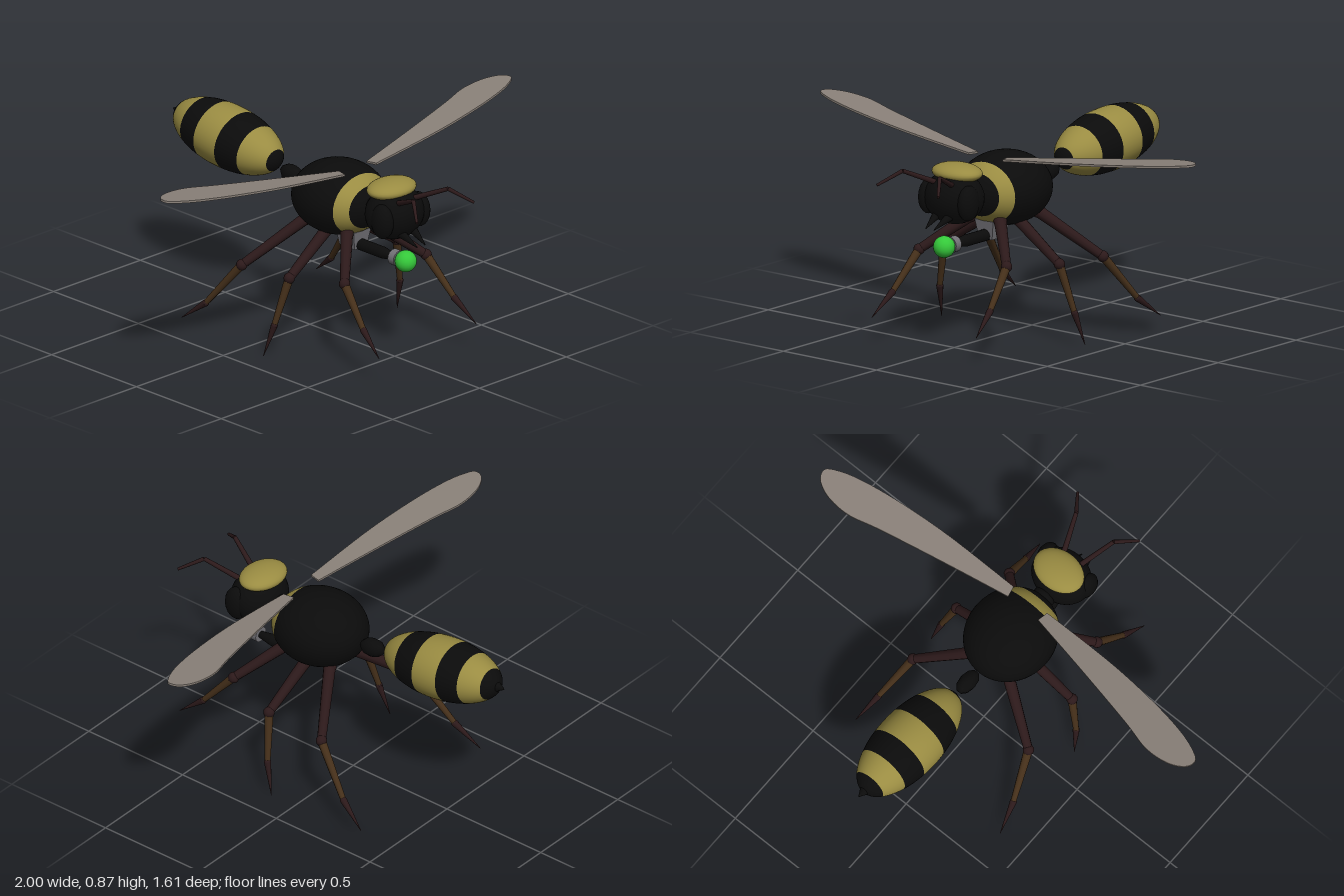
import * as THREE from 'three';

const mat = (name, color) => {
  const m = new THREE.MeshStandardMaterial({ color });
  m.name = name;
  return m;
};

export function createModel() {
  const black = mat('black', 0x0b0b0b);
  const yellow = mat('dull yellow', 0x9a8c42);
  const umber = mat('dark red brown', 0x2c191a);
  const brown = mat('brown', 0x46301a);
  const grey = mat('grey', 0x737277);
  const green = mat('green', 0x35c83a);
  const membrane = mat('wing grey', 0x8a8179);

  const model = new THREE.Group();
  model.name = 'wasp';

  const add = (name, geometry, material, parent = model) => {
    const mesh = new THREE.Mesh(geometry, material);
    mesh.name = name;
    parent.add(mesh);
    return mesh;
  };

  const ellipsoid = (name, material, pos, radii, segs = 32) => {
    const m = add(name, new THREE.SphereGeometry(1, segs, Math.max(6, segs / 2)), material);
    m.position.set(...pos);
    m.scale.set(...radii);
    return m;
  };

  // Tapered round bar between two points
  const bar = (name, material, a, b, ra, rb, parent = model, sides = 10) => {
    const from = new THREE.Vector3(...a), to = new THREE.Vector3(...b);
    const dir = to.clone().sub(from);
    const m = add(name, new THREE.CylinderGeometry(rb, ra, dir.length(), sides), material, parent);
    m.position.copy(from).add(to).multiplyScalar(0.5);
    m.quaternion.setFromUnitVectors(new THREE.Vector3(0, 1, 0), dir.normalize());
    return m;
  };

  // Ellipsoid cut into coloured bands along its long axis; cuts run from 1 (front) to -1 (rear)
  const banded = (name, pos, radii, pitch, cuts, colours) => {
    const group = new THREE.Group();
    group.name = name;
    colours.forEach((colour, i) => {
      const a = Math.acos(cuts[i]), b = Math.acos(cuts[i + 1]);
      const rows = Math.max(3, Math.ceil((b - a) * 10));
      add(name + 'Band' + (i + 1), new THREE.SphereGeometry(1, 40, rows, 0, Math.PI * 2, a, b - a), colour, group);
    });
    group.position.set(...pos);
    group.rotation.x = Math.PI / 2 + pitch;
    group.scale.set(...radii);
    model.add(group);
  };

  // Body
  banded('thorax', [0, 0.62, 0.175], [0.19, 0.21, 0.155], 0,
    [1, 0.81, 0.57, -1], [black, yellow, black]);
  banded('abdomen', [0, 0.698, -0.48], [0.14, 0.297, 0.13], 0.11,
    [1, 0.93, 0.56, 0.19, -0.23, -0.565, -0.86, -1],
    [black, yellow, black, yellow, black, yellow, black]);
  const waist = ellipsoid('waist', black, [0, 0.635, -0.104], [0.037, 0.04, 0.064], 10);
  waist.rotation.x = 0.15;
  ellipsoid('neck', black, [0, 0.63, 0.385], [0.05, 0.05, 0.03], 16);
  bar('stinger', black, [0, 0.727, -0.755], [0, 0.73, -0.805], 0.03, 0.002);

  // Head
  ellipsoid('head', black, [0, 0.64, 0.5], [0.135, 0.112, 0.112]);
  ellipsoid('headCap', yellow, [0, 0.742, 0.481], [0.117, 0.04, 0.087]);

  const legs = {
    front: [[0.08, 0.51, 0.3], [0.235, 0.37, 0.445], [0.262, 0.21, 0.585], [0.28, 0.12, 0.695]],
    middle: [[0.07, 0.5, 0.18], [0.31, 0.345, 0.195], [0.362, 0.14, 0.16], [0.385, 0, 0.12]],
    rear: [[0.08, 0.51, 0.06], [0.31, 0.325, -0.085], [0.362, 0.125, -0.245], [0.388, 0.035, -0.36]],
  };

  for (const s of [1, -1]) {
    const side = s > 0 ? 'left' : 'right';
    const flip = ([x, y, z]) => [s * x, y, z];

    ellipsoid(side + 'Eye', black, [s * 0.105, 0.635, 0.535], [0.04, 0.075, 0.055], 20);

    // Antenna and mandible
    const [a, b, c] = [[0.045, 0.71, 0.57], [0.1, 0.775, 0.713], [0.165, 0.72, 0.8]].map(flip);
    bar(side + 'AntennaBase', umber, a, b, 0.012, 0.009);
    bar(side + 'AntennaTip', umber, b, c, 0.009, 0.006);
    bar(side + 'Mandible', black, flip([0.035, 0.58, 0.56]), flip([0.022, 0.531, 0.657]), 0.022, 0.002);

    // Legs
    for (const [key, points] of Object.entries(legs)) {
      const [hip, knee, ankle, tip] = points.map(flip);
      const leg = new THREE.Group();
      leg.name = side + key[0].toUpperCase() + key.slice(1) + 'Leg';
      model.add(leg);
      bar('thigh', umber, hip, knee, 0.026, 0.019, leg);
      bar('shin', brown, knee, ankle, 0.019, 0.012, leg);
      bar('foot', umber, ankle, tip, 0.015, 0.001, leg);
      add('hipJoint', new THREE.SphereGeometry(0.029, 12, 8), umber, leg).position.set(...hip);
      add('kneeJoint', new THREE.SphereGeometry(0.024, 12, 8), umber, leg).position.set(...knee);
      add('ankleJoint', new THREE.SphereGeometry(0.015, 10, 8), umber, leg).position.set(...ankle);
    }

    // Wing outline in x and z, relative to its root
    const outline = [[0, -0.035], [0.3, -0.1], [0.58, -0.165], [0.72, -0.203], [0.83, -0.2], [0.9, -0.17],
      [0.922, -0.13], [0.9, -0.1], [0.8, -0.06], [0.62, -0.025], [0.36, 0.002], [0.01, 0.012]]
      .map(([x, z]) => new THREE.Vector2(s * x, z));
    const shape = new THREE.Shape().setFromPoints(new THREE.SplineCurve(outline).getPoints(60));
    const wing = add(side + 'Wing',
      new THREE.ExtrudeGeometry(shape, { depth: 0.009, bevelEnabled: false }).rotateX(Math.PI / 2), membrane);
    wing.position.set(s * 0.08, 0.773, 0.287);
    wing.rotation.z = s * 0.105;
  }

  // Blaster slung under the thorax: mount narrows toward the bottom
  const mount = new THREE.BoxGeometry(0.1, 0.08, 0.11);
  const p = mount.attributes.position;
  for (let i = 0; i < p.count; i++) if (p.getY(i) < 0) p.setXYZ(i, p.getX(i) * 0.7, p.getY(i), p.getZ(i) * 0.8);
  mount.computeVertexNormals();
  add('blasterMount', mount, grey).position.set(0, 0.463, 0.255);
  bar('blasterBody', black, [0, 0.44, 0.24], [0, 0.44, 0.43], 0.025, 0.025, model, 16);
  bar('blasterNozzle', black, [0, 0.44, 0.43], [0, 0.44, 0.5], 0.025, 0.014, model, 16);
  bar('blasterRing', grey, [0, 0.44, 0.493], [0, 0.44, 0.527], 0.034, 0.034, model, 16);
  ellipsoid('blasterOrb', green, [0, 0.44, 0.565], [0.046, 0.046, 0.046], 24);

  return model;
}
